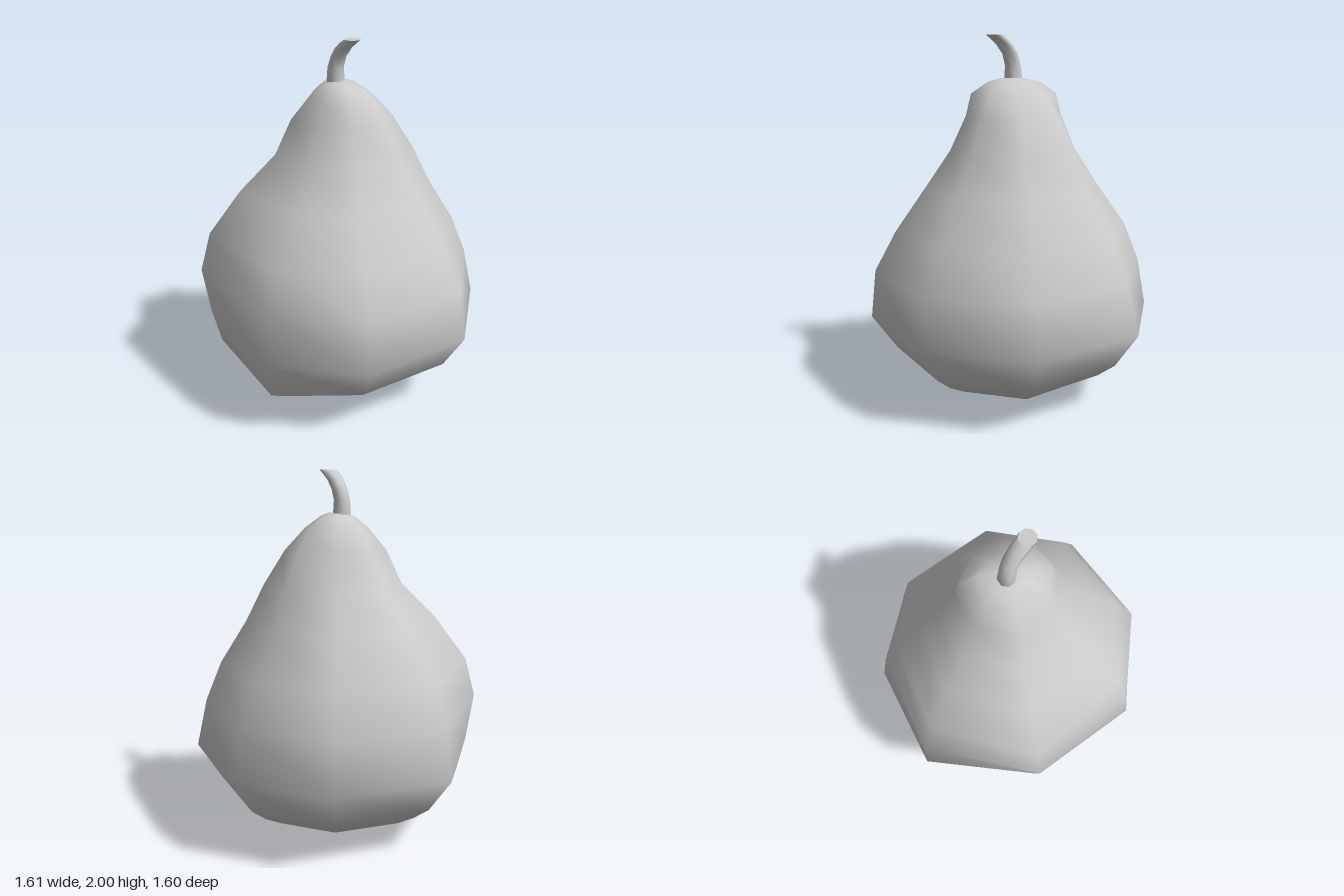
import * as THREE from 'three';

// Skin a closed surface over a stack of rings; single-point rings close the ends.
function loft(rings) {
  const sides = rings[0].length;
  const index = [];
  for (let j = 0; j < rings.length - 1; j++) {
    for (let i = 0; i < sides; i++) {
      const k = (i + 1) % sides;
      const a = j * sides + i, b = j * sides + k;
      index.push(a, a + sides, b + sides, a, b + sides, b);
    }
  }
  const geometry = new THREE.BufferGeometry();
  geometry.setAttribute('position', new THREE.Float32BufferAttribute(rings.flat(2), 3));
  geometry.setIndex(index);
  geometry.computeVertexNormals();
  return geometry;
}

// Horizontal ring: radii and angles per corner, starting at +x and turning to +z.
function ring(y, radii, angles, cx = 0, cz = 0) {
  return angles.map((a, i) => [cx + radii[i] * Math.cos(a), y, cz + radii[i] * Math.sin(a)]);
}

// Eight-sided fruit with a bulge towards -x and its neighbouring front corner.
function fruitGeometry() {
  const angles = [0, 44, 89, 129, 180, 229, 274, 314].map(THREE.MathUtils.degToRad);
  // height, then the radius at each corner
  const rows = [
    [0.00, 0.00, 0.00, 0.00, 0.00, 0.00, 0.00, 0.00, 0.00],
    [0.02, 0.25, 0.24, 0.22, 0.25, 0.27, 0.26, 0.24, 0.24],
    [0.10, 0.48, 0.46, 0.45, 0.50, 0.53, 0.49, 0.46, 0.46],
    [0.17, 0.60, 0.58, 0.57, 0.65, 0.61, 0.60, 0.58, 0.58],
    [0.25, 0.67, 0.68, 0.66, 0.77, 0.72, 0.70, 0.67, 0.68],
    [0.45, 0.80, 0.80, 0.80, 0.81, 0.77, 0.84, 0.80, 0.81],
    [0.72, 0.74, 0.76, 0.77, 0.77, 0.81, 0.81, 0.75, 0.74],
    [0.94, 0.65, 0.65, 0.65, 0.69, 0.75, 0.72, 0.66, 0.64],
    [1.18, 0.50, 0.49, 0.48, 0.50, 0.57, 0.54, 0.49, 0.48],
    [1.38, 0.40, 0.37, 0.34, 0.34, 0.37, 0.38, 0.36, 0.41],
    [1.57, 0.28, 0.27, 0.25, 0.25, 0.28, 0.27, 0.28, 0.31],
    [1.69, 0.17, 0.20, 0.22, 0.20, 0.18, 0.20, 0.25, 0.22],
    [1.75, 0.08, 0.11, 0.13, 0.12, 0.11, 0.13, 0.16, 0.11],
    [1.77, 0.03, 0.05, 0.06, 0.06, 0.06, 0.06, 0.07, 0.04],
    [1.77, 0.00, 0.00, 0.00, 0.00, 0.00, 0.00, 0.00, 0.00],
  ];
  return loft(rows.map(([y, ...radii]) => ring(y, radii, angles)));
}

// Short stem curving forward and to the side, cut flat at the tip.
function stemGeometry() {
  const angles = Array.from({ length: 8 }, (_, i) => (i * Math.PI) / 4);
  // height, radius, centre x, centre z; the repeated tip ring keeps a sharp rim
  const stations = [
    [1.72, 0.050, -0.030, -0.020],
    [1.78, 0.048, -0.033, -0.020],
    [1.84, 0.044, -0.033, -0.017],
    [1.90, 0.043, -0.020, 0.000],
    [1.95, 0.045, 0.000, 0.035],
    [1.98, 0.047, 0.020, 0.068],
    [2.00, 0.047, 0.037, 0.093],
    [2.00, 0.047, 0.037, 0.093],
    [2.00, 0.000, 0.037, 0.093],
  ];
  return loft(stations.map(([y, r, x, z]) => ring(y, angles.map(() => r), angles, x, z)));
}

export function createModel() {
  const group = new THREE.Group();
  group.name = 'pear';
  const material = new THREE.MeshStandardMaterial({ color: 0xcccccc });
  const add = (name, geometry) => {
    const mesh = new THREE.Mesh(geometry, material);
    mesh.name = name;
    group.add(mesh);
  };
  add('fruit', fruitGeometry());
  add('stem', stemGeometry());
  return group;
}
